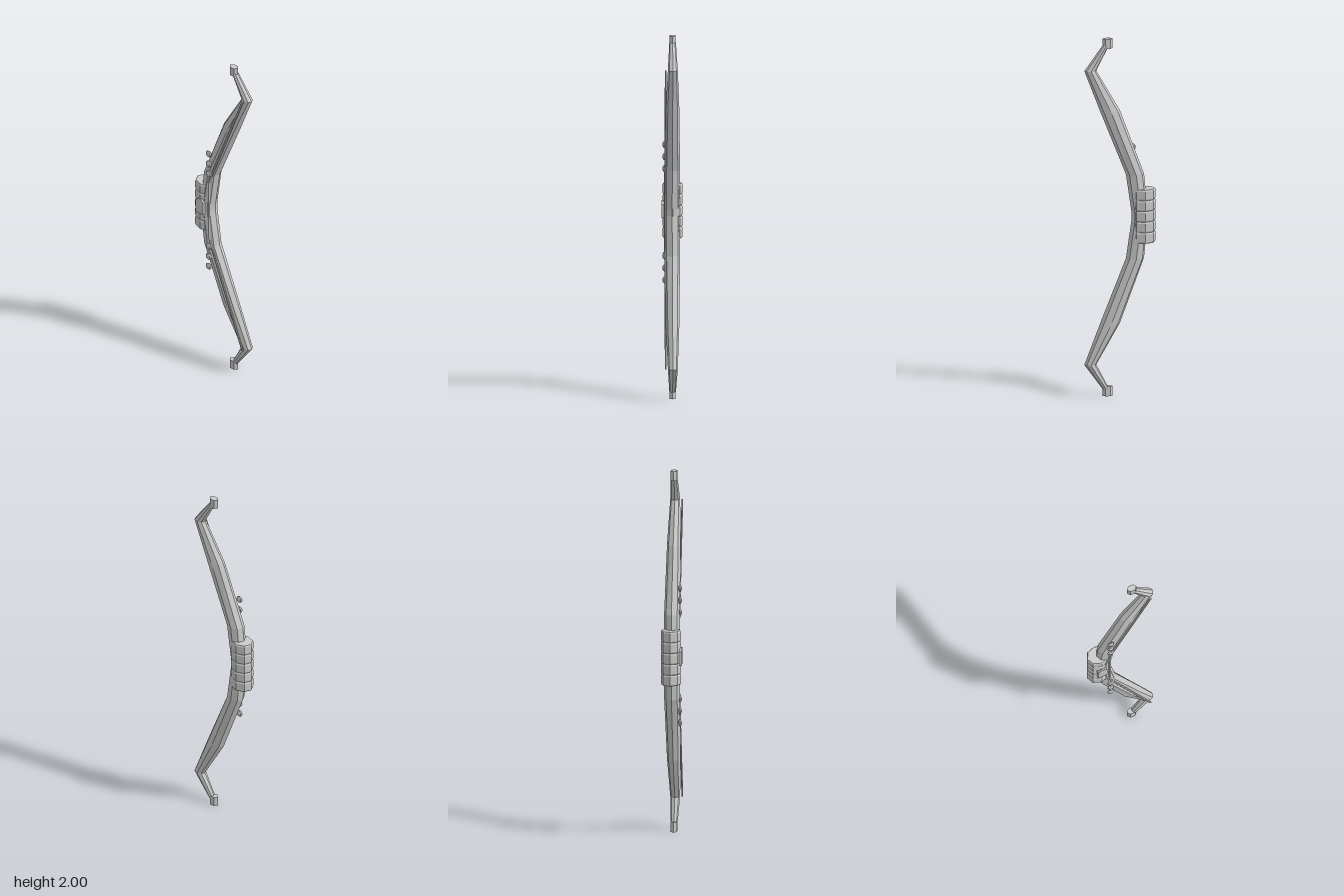
import * as THREE from 'three';

const material = new THREE.MeshStandardMaterial({ color: 0xcccccc, flatShading: true });

function addMesh(parent, name, geometry, x = 0, y = 0, z = 0) {
  const mesh = new THREE.Mesh(geometry, material);
  mesh.name = name;
  mesh.position.set(x, y, z);
  parent.add(mesh);
}

// Skin horizontal elliptical rings [y, centreX, radiusX, radiusZ, centreZ], listed bottom to top.
function loft(rings, sides) {
  const positions = [], index = [];
  for (const [y, cx, rx, rz, cz = 0] of rings) {
    for (let i = 0; i < sides; i++) {
      const a = (i / sides) * Math.PI * 2;
      positions.push(cx + rx * Math.cos(a), y, cz + rz * Math.sin(a));
    }
  }
  for (let r = 0; r < rings.length - 1; r++) {
    for (let i = 0; i < sides; i++) {
      const j = (i + 1) % sides;
      const a = r * sides + i, b = r * sides + j, c = a + sides, d = b + sides;
      index.push(a, c, b, b, c, d);
    }
  }
  // End caps
  const top = (rings.length - 1) * sides;
  for (let i = 1; i < sides - 1; i++) {
    index.push(0, i, i + 1, top, top + i + 1, top + i);
  }
  const geometry = new THREE.BufferGeometry();
  geometry.setAttribute('position', new THREE.Float32BufferAttribute(positions, 3));
  geometry.setIndex(index);
  const flat = geometry.toNonIndexed();
  flat.computeVertexNormals();
  return flat;
}

// Mirror the upper rings about the middle height y = 1.
function mirrored(upper) {
  const lower = upper.map(([y, ...rest]) => [2 - y, ...rest]).reverse();
  return [...lower, ...upper];
}

export function createModel() {
  const bow = new THREE.Group();
  bow.name = 'bow';

  // Eight-sided stave with recurved ends
  addMesh(bow, 'limbs', loft(mirrored([
    [1.02, -0.11, 0.045, 0.045],
    [1.235, -0.084, 0.05, 0.043],
    [1.595, 0.054, 0.055, 0.037],
    [1.823, 0.163, 0.033, 0.027],
    [1.962, 0.077, 0.018, 0.018],
  ]), 8));

  // Thin string lying along the front of the stave
  addMesh(bow, 'string', loft(mirrored([
    [1.18, -0.08, 0.008, 0.005, 0.039],
    [1.823, 0.162, 0.008, 0.005, 0.039],
  ]), 6));

  // Hexagonal end nocks
  for (const side of [1, -1]) {
    const nock = new THREE.CylinderGeometry(0.028, 0.028, 0.054, 6);
    nock.rotateY(Math.PI / 2);
    nock.scale(1, 1, 0.7);
    addMesh(bow, side > 0 ? 'upperNock' : 'lowerNock', nock, 0.068, 1 + side * 0.973, 0);
  }

  // Grip wrapped in five bevelled bands
  const grip = new THREE.Group();
  grip.name = 'grip';
  bow.add(grip);
  const pitch = 0.06;
  for (let i = 0; i < 5; i++) {
    const y = 1.004 + (i - 2) * pitch;
    const ring = (dy, s) => [y + dy, -0.132, 0.066 * s, 0.055 * s, -0.003];
    addMesh(grip, 'gripBand', loft([
      ring(-0.03, 0.93), ring(-0.022, 1), ring(0.022, 1), ring(0.03, 0.93),
    ], 8));
  }

  // Front plate with clipped upper corners
  const plate = new THREE.Shape([
    [-0.027, -0.045], [0.027, -0.045], [0.027, 0.03],
    [0.011, 0.05], [-0.011, 0.05], [-0.027, 0.03],
  ].map(([x, y]) => new THREE.Vector2(x, y)));
  addMesh(grip, 'gripPlate',
    new THREE.ExtrudeGeometry(plate, { depth: 0.016, bevelEnabled: false }), -0.13, 1.01, 0.042);

  // Three flattened studs on each limb
  for (const side of [1, -1]) {
    for (const d of [0.24, 0.307, 0.373]) {
      const stud = new THREE.SphereGeometry(0.02, 8, 6);
      stud.scale(1, 1, 0.5);
      addMesh(bow, 'stud', stud, -0.076, 1.003 + side * d, 0.043);
    }
  }

  return bow;
}
